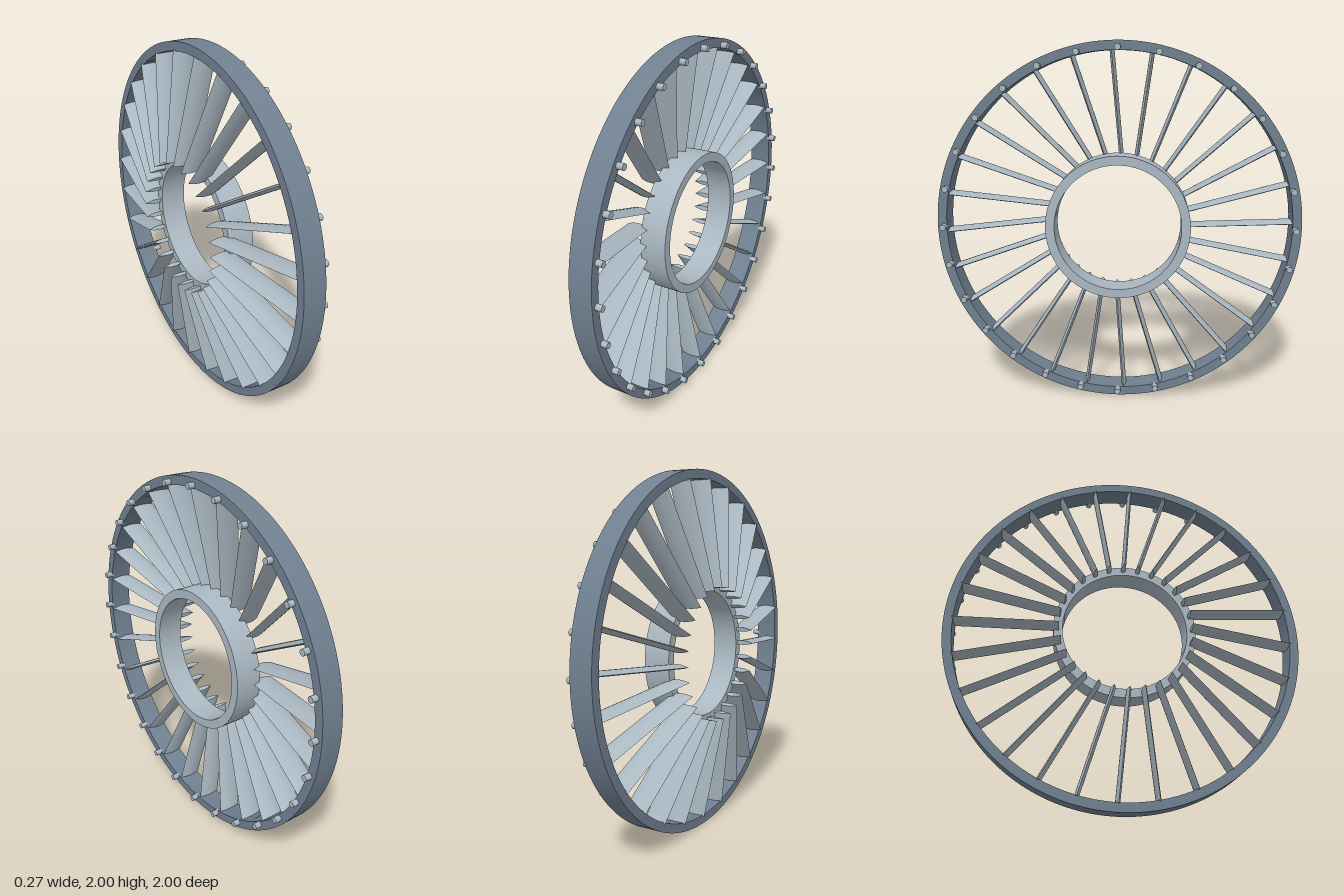
import * as THREE from 'three';
import { toCreasedNormals } from 'three/addons/utils/BufferGeometryUtils.js';

const COUNT = 28;
const slateSteel = new THREE.MeshStandardMaterial({ color: 0x708090 });
slateSteel.name = 'slateSteel';
const paleSteel = new THREE.MeshStandardMaterial({ color: 0xaab8c2 });
paleSteel.name = 'paleSteel';

// Square-edged ring around the x axis, from x0 to x1
function ringGeometry(outer, inner, x0, x1) {
  const shape = new THREE.Shape().absarc(0, 0, outer, 0, Math.PI * 2, false);
  shape.holes.push(new THREE.Path().absarc(0, 0, inner, 0, Math.PI * 2, true));
  const geo = new THREE.ExtrudeGeometry(shape, { depth: x1 - x0, bevelEnabled: false, curveSegments: 96 });
  geo.rotateY(Math.PI / 2).translate(x0, 0, 0);
  return toCreasedNormals(geo, 0.6);
}

// Lens-section blade pointing up, raked along x and leaning sideways from root to tip
function bladeGeometry() {
  const chord = 0.13, bulge = 0.026;
  const lens = new THREE.Shape();
  lens.moveTo(0, 0);
  lens.quadraticCurveTo(chord / 2, -bulge, chord, 0);
  lens.quadraticCurveTo(chord / 2, bulge, 0, 0);
  const geo = new THREE.ExtrudeGeometry(lens, { depth: 1, bevelEnabled: false, curveSegments: 8 });
  geo.rotateX(-Math.PI / 2);
  const p = geo.attributes.position;
  const { lerp } = THREE.MathUtils;
  for (let i = 0; i < p.count; i++) {
    const s = p.getY(i);
    p.setXYZ(i,
      p.getX(i) + lerp(-0.135, -0.035, s),
      lerp(0.37, 0.955, s),
      p.getZ(i) + lerp(-0.014, 0.033, s));
  }
  return toCreasedNormals(geo, 0.5);
}

export function createModel() {
  const model = new THREE.Group();
  model.name = 'bladedWheel';
  const wheel = new THREE.Group();
  wheel.name = 'wheel';
  wheel.position.y = 1;
  model.add(wheel);

  const add = (name, geo, mat) => {
    const mesh = new THREE.Mesh(geo, mat);
    mesh.name = name;
    wheel.add(mesh);
    return mesh;
  };

  // Outer rim and inner hub
  add('outerRing', ringGeometry(1, 0.95, -0.025, 0.1), slateSteel);
  add('hubRing', ringGeometry(0.4, 0.35, -0.035, 0.112), paleSteel);

  // Blades and rim bolts, evenly spaced
  const blade = bladeGeometry();
  const bolt = new THREE.CylinderGeometry(0.017, 0.017, 0.045, 12);
  bolt.rotateZ(-Math.PI / 2).translate(0.1125, 0.965, 0);
  for (let i = 0; i < COUNT; i++) {
    const angle = (i / COUNT) * Math.PI * 2;
    add('blade', blade, paleSteel).rotation.x = angle;
    add('bolt', bolt, paleSteel).rotation.x = angle;
  }
  return model;
}
